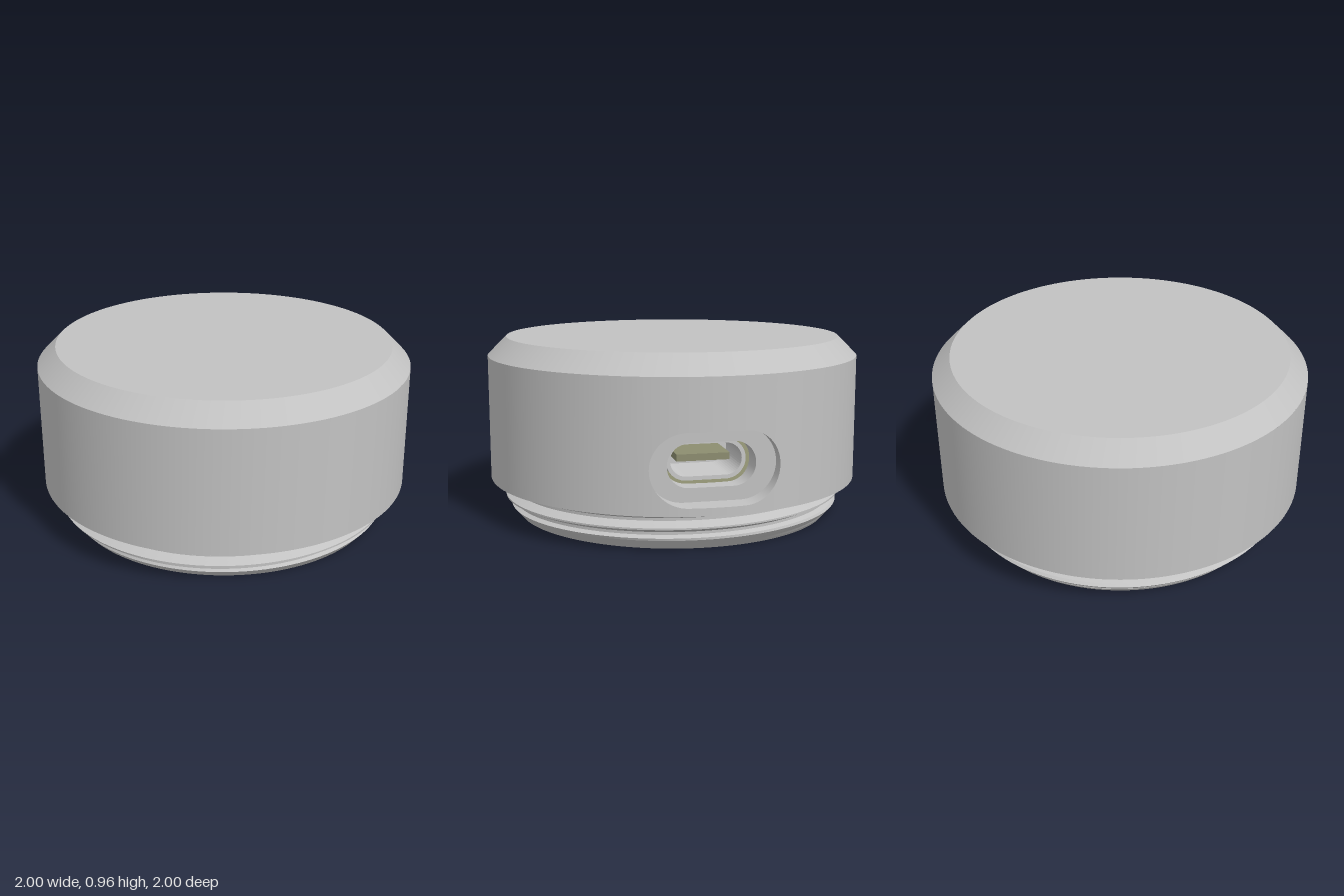
import * as THREE from 'three';

const TAU = Math.PI * 2;
const mat = (name, color, side = THREE.FrontSide) => {
  const m = new THREE.MeshStandardMaterial({ color, side });
  m.name = name;
  return m;
};

// Skin a list of equal-length point loops; edges between bands stay sharp.
function loft(loops, closed = true) {
  const pos = [], idx = [];
  const n = loops[0].length;
  for (let b = 0; b < loops.length - 1; b++) {
    const base = pos.length / 3;
    for (const loop of [loops[b], loops[b + 1]]) loop.forEach((p) => pos.push(p.x, p.y, p.z));
    for (let i = 0; i < (closed ? n : n - 1); i++) {
      const j = (i + 1) % n;
      const [a, c, d, e] = [base + i, base + j, base + n + i, base + n + j];
      idx.push(a, c, e, a, e, d);
    }
  }
  const g = new THREE.BufferGeometry();
  g.setAttribute('position', new THREE.Float32BufferAttribute(pos, 3));
  g.setIndex(idx);
  g.computeVertexNormals();
  return g;
}

const at = (r, y, a) => new THREE.Vector3(r * Math.cos(a), y, -r * Math.sin(a));
const circle = (r, y, n = 128) => Array.from({ length: n }, (_, i) => at(r, y, (i / n) * TAU));
const arc = (r, y, gap, n = 120) =>
  Array.from({ length: n + 1 }, (_, i) => at(r, y, Math.PI / 2 + gap + (i / n) * (TAU - 2 * gap)));

// The port opening is a stadium centred on the back at this height.
const PORT_Y = 0.42;
const stadiumReach = (a, hw, hh) => {
  const s = hw - hh, c = Math.abs(Math.cos(a)), q = Math.abs(Math.sin(a));
  return q > 1e-6 && (hh * c) / q <= s ? hh / q : s * c + Math.sqrt(hh * hh - s * s * q * q);
};
const rayAngles = (corners = []) =>
  [...Array.from({ length: 96 }, (_, i) => (i / 96) * TAU), ...corners].sort((a, b) => a - b);
const onBack = (x, y, R) => new THREE.Vector3(x, PORT_Y + y, -Math.sqrt(R * R - x * x));

function stadiumLoop(hw, hh, zOf) {
  return rayAngles().map((a) => {
    const t = stadiumReach(a, hw, hh), x = t * Math.cos(a);
    return new THREE.Vector3(x, PORT_Y + t * Math.sin(a), zOf(x));
  });
}

// Curved wall panel of radius R around the opening, filling a rectangle up to y0..y1.
function portPanel(R, hw, hh, w, y0, y1) {
  const lo = PORT_Y - y0, hi = y1 - PORT_Y;
  const corners = [Math.atan2(hi, w), Math.atan2(hi, -w), Math.atan2(-lo, -w) + TAU, Math.atan2(-lo, w) + TAU];
  const angles = rayAngles(corners);
  const loops = [0, 0.25, 0.5, 0.75, 1].map((f) => angles.map((a) => {
    const c = Math.cos(a), s = Math.sin(a);
    const edge = Math.min(w / Math.max(Math.abs(c), 1e-6), (s > 0 ? hi : lo) / Math.max(Math.abs(s), 1e-6));
    const t = THREE.MathUtils.lerp(stadiumReach(a, hw, hh), edge, f);
    return onBack(t * c, t * s, R);
  }));
  const g = loft(loops);
  // Exact cylinder normals keep the panel seamless with the wall.
  const p = g.attributes.position, nrm = g.attributes.normal;
  for (let i = 0; i < p.count; i++) {
    const sign = Math.sign(nrm.getX(i) * p.getX(i) + nrm.getZ(i) * p.getZ(i)) || 1;
    nrm.setXYZ(i, (sign * p.getX(i)) / R, 0, (sign * p.getZ(i)) / R);
  }
  return g;
}

// Helical ridge trimmed flat at both ends and by a lead-in cone below.
function threadGeometry() {
  const pitch = 0.07, crest = 0.103, top = 0.2, rows = [];
  for (let k = -3; k <= 2; k++) {
    for (const t of [-0.4, -0.23, -0.06, 0.06, 0.23, 0.4]) {
      rows.push(Array.from({ length: 129 }, (_, i) => {
        const turn = i / 128;
        const y = THREE.MathUtils.clamp(crest + pitch * (turn + k + t), 0, top);
        const u = (y - crest) / pitch - turn;
        const d = Math.abs(u - Math.round(u));
        const r = 0.922 - 0.05 * THREE.MathUtils.clamp((d - 0.06) / 0.34, 0, 1);
        return at(Math.min(r, 0.85 + 0.85 * y), y, turn * TAU);
      }));
    }
  }
  return loft(rows, false);
}

function stadiumShape(Type, hw, hh) {
  const s = new Type();
  s.absarc(hw - hh, 0, hh, -Math.PI / 2, Math.PI / 2);
  s.absarc(hh - hw, 0, hh, Math.PI / 2, Math.PI * 1.5);
  s.closePath();
  return s;
}

export function createModel() {
  const model = new THREE.Group();
  model.name = 'threadedSensorPuck';
  const body = mat('body grey', 0xc2c2c2, THREE.DoubleSide);
  const board = mat('board olive', 0x8c8d70);
  const white = mat('package white', 0xdedede);
  const purple = mat('lens purple', 0x9b6bdc);
  const steel = mat('steel', 0xc8c8c8);
  const cream = mat('pad cream', 0xe0dcb0);
  const dark = mat('dark hole', 0x3c3c34);
  const add = (name, geo, material, x = 0, y = 0, z = 0, parent = model) => {
    const m = new THREE.Mesh(geo, material);
    m.name = name;
    m.position.set(x, y, z);
    parent.add(m);
    return m;
  };

  // Housing
  const R = 1, r = 0.795;
  const gap = Math.asin(0.37 / R), innerGap = Math.asin(0.28 / r);
  add('topCap', loft([circle(1, 0.86), circle(0.9, 0.96), circle(0, 0.96)]), body);
  add('outerWall', loft([arc(R, 0.2, gap), arc(R, 0.86, gap)], false), body);
  add('portPanel', portPanel(R, 0.32, 0.18, 0.37, 0.2, 0.86), body);
  add('shoulder', loft([circle(0.86, 0.2), circle(1, 0.2)]), body);
  add('thread', threadGeometry(), body);
  add('bottomRimAndBore', loft([circle(0.85, 0), circle(r, 0), circle(r, 0.29)]), body);
  add('innerWall', loft([arc(r, 0.29, innerGap), arc(r, 0.86, innerGap)], false), body);
  add('innerPortPanel', portPanel(r, 0.22, 0.11, 0.28, 0.29, 0.86), body);
  add('innerCeiling', loft([circle(r, 0.86), circle(0, 0.86)]), body);

  // Stepped port recess in the back
  add('portRecess', loft([
    stadiumLoop(0.32, 0.18, (x) => -Math.sqrt(R * R - x * x)),
    stadiumLoop(0.32, 0.18, () => -0.88),
    stadiumLoop(0.22, 0.11, () => -0.88),
    stadiumLoop(0.22, 0.11, (x) => -Math.sqrt(r * r - x * x)),
  ]), body);

  // Connector behind the port
  const ring = stadiumShape(THREE.Shape, 0.2, 0.1);
  ring.holes.push(stadiumShape(THREE.Path, 0.18, 0.08));
  add('connectorShell', new THREE.ExtrudeGeometry(ring, { depth: 0.3, bevelEnabled: false }), steel, 0, PORT_Y, -0.77);
  add('connectorBack', new THREE.BoxGeometry(0.4, 0.2, 0.04), steel, 0, PORT_Y, -0.46);
  add('connectorTongue', new THREE.BoxGeometry(0.27, 0.035, 0.24), board, 0, PORT_Y, -0.59);

  // Circuit board
  const face = 0.265;
  add('circuitBoard', new THREE.CylinderGeometry(0.793, 0.793, 0.04, 96), board, 0, face + 0.02, 0);

  // Light packages with round lenses
  const square = (Type, h) => new Type([[-h, -h], [h, -h], [h, h], [-h, h]].map((p) => new THREE.Vector2(...p)));
  const frame = square(THREE.Shape, 0.085);
  frame.holes.push(square(THREE.Path, 0.06));
  const frameGeo = new THREE.ExtrudeGeometry(frame, { depth: 0.035, bevelEnabled: false }).rotateX(Math.PI / 2);
  const lensGeo = new THREE.SphereGeometry(0.04, 24, 16);
  for (const [x, z] of [[0.22, 0.177], [-0.03, -0.175], [-0.28, 0.177]]) {
    const led = new THREE.Group();
    led.name = 'lightPackage';
    led.position.set(x, face, z);
    model.add(led);
    add('packageFrame', frameGeo, white, 0, 0, 0, led);
    add('packageFloor', new THREE.BoxGeometry(0.12, 0.008, 0.12), steel, 0, -0.004, 0, led);
    add('lens', lensGeo, purple, 0, -0.035, 0, led);
  }

  // Domed screws with cross slots
  const dome = [[0, -0.055], [0.04, -0.052], [0.08, -0.04], [0.105, -0.022], [0.115, 0]].map((p) => new THREE.Vector2(...p));
  for (const side of [-1, 1]) {
    const screw = new THREE.Group();
    screw.name = 'screw';
    screw.position.set(side * 0.62, face, 0);
    model.add(screw);
    add('screwHead', new THREE.LatheGeometry(dome, 40), steel, 0, 0, 0, screw);
    for (const turn of [0, Math.PI / 2]) {
      add('screwSlot', new THREE.BoxGeometry(0.06, 0.008, 0.009), dark, 0, -0.053, 0, screw).rotation.y = turn;
    }
  }

  // Small chip and scattered via holes on the underside
  add('smallChip', new THREE.BoxGeometry(0.03, 0.02, 0.07), cream, -0.22, face - 0.01, -0.42);
  const viaGeo = new THREE.CylinderGeometry(0.006, 0.006, 0.004, 8);
  for (let i = 0; i < 40; i++) {
    const p = at(0.74 * Math.sqrt((i + 0.5) / 40), face - 0.001, i * 2.39996);
    add('viaHole', viaGeo, dark, p.x, p.y, p.z);
  }
  return model;
}
